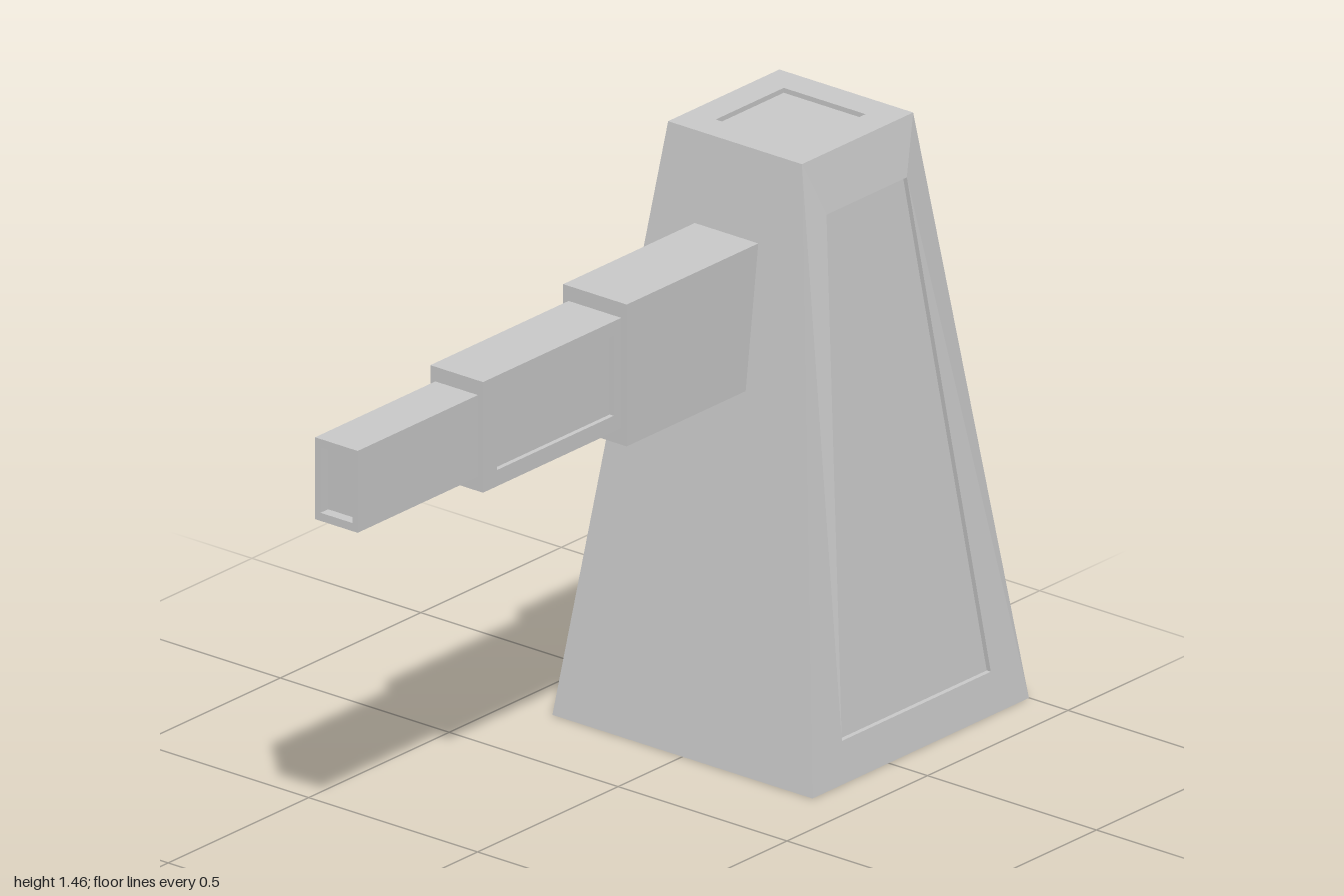
import * as THREE from 'three';

const material = new THREE.MeshStandardMaterial({ color: 0xcccccc, flatShading: true });

// Corner numbers use bit 1 for +x, bit 2 for +y, bit 4 for +z.
const FACES = {
  front: [4, 5, 7, 6], back: [1, 0, 2, 3], right: [5, 1, 3, 7],
  left: [0, 4, 6, 2], top: [6, 7, 3, 2], bottom: [0, 1, 5, 4],
};

// Six-sided block; a face listed in panels gets a rim and a sunken panel.
function block(name, corners, panels = {}) {
  const positions = [];
  const quad = (a, b, c, d) => [a, b, c, a, c, d].forEach((p) => positions.push(...p));
  const strip = (outer, inner) => {
    for (let i = 0; i < 4; i++) {
      const j = (i + 1) % 4;
      quad(outer[i], outer[j], inner[j], inner[i]);
    }
  };
  for (const [face, ids] of Object.entries(FACES)) {
    const outer = ids.map((i) => corners[i]);
    const panel = panels[face];
    if (!panel) {
      quad(...outer);
      continue;
    }
    const floor = panel.rim.map((p) => p.map((v, k) => v + panel.sink[k]));
    strip(outer, panel.rim);
    strip(panel.rim, floor);
    quad(...floor);
  }
  const geometry = new THREE.BufferGeometry();
  geometry.setAttribute('position', new THREE.Float32BufferAttribute(positions, 3));
  geometry.computeVertexNormals();
  const mesh = new THREE.Mesh(geometry, material);
  mesh.name = name;
  return mesh;
}

const cornersFrom = (fn) =>
  Array.from({ length: 8 }, (_, i) => fn(i & 1 ? 1 : -1, i & 2 ? 1 : -1, i & 4 ? 1 : -1));

// Tapered tower with sunken panels on front, back and top
const CX = 0.614, HEIGHT = 1.455, BASE = 0.385, TOP = 0.198;
const towerHalf = (y) => BASE + (TOP - BASE) * (y / HEIGHT);

function tower() {
  const corners = cornersFrom((sx, sy, sz) => {
    const y = sy > 0 ? HEIGHT : 0;
    return [CX + sx * towerHalf(y), y, sz * towerHalf(y)];
  });
  const side = (s) => ({
    rim: [
      [CX - s * 0.265, 0.1, s * 0.372], [CX + s * 0.265, 0.1, s * 0.372],
      [CX + s * 0.143, 1.32, s * 0.225], [CX - s * 0.143, 1.32, s * 0.225],
    ],
    sink: [0, 0, -s * 0.012],
  });
  const t = 0.121;
  const top = {
    rim: [[-t, t], [t, t], [t, -t], [-t, -t]].map(([x, z]) => [CX + x, HEIGHT, z]),
    sink: [0, -0.012, 0],
  };
  return block('tower', corners, { front: side(1), back: side(-1), top });
}

// Straight arm section; the inner end may follow the slope of the tower
function armSection(name, x0, endX, y0, y1, half, panels) {
  const corners = cornersFrom((sx, sy, sz) => {
    const y = sy > 0 ? y1 : y0;
    return [sx > 0 ? endX(y) : x0, y, sz * half];
  });
  return block(name, corners, panels);
}

export function createModel() {
  const model = new THREE.Group();
  model.add(tower());

  const arm = new THREE.Group();
  arm.name = 'arm';
  arm.position.z = -0.002;

  arm.add(armSection('armRoot', -0.08, (y) => CX - towerHalf(y), 0.89, 1.24, 0.094));

  // Middle section with a sunken panel on each side
  const sidePanel = (s) => {
    const mid = -0.315, w = s * 0.208, z = s * 0.078;
    return {
      rim: [[mid - w, 0.97, z], [mid + w, 0.97, z], [mid + w, 1.167, z], [mid - w, 1.167, z]],
      sink: [0, 0, -s * 0.012],
    };
  };
  arm.add(armSection('armMiddle', -0.572, () => -0.08, 0.93, 1.203, 0.078,
    { front: sidePanel(1), back: sidePanel(-1) }));

  // Outer section with a shallow socket in its end
  const z = 0.047;
  const socket = {
    rim: [[-1, 0.985, -z], [-1, 0.985, z], [-1, 1.147, z], [-1, 1.147, -z]],
    sink: [0.027, 0, 0],
  };
  arm.add(armSection('armTip', -1, () => -0.572, 0.965, 1.167, 0.063, { left: socket }));

  model.add(arm);
  return model;
}
